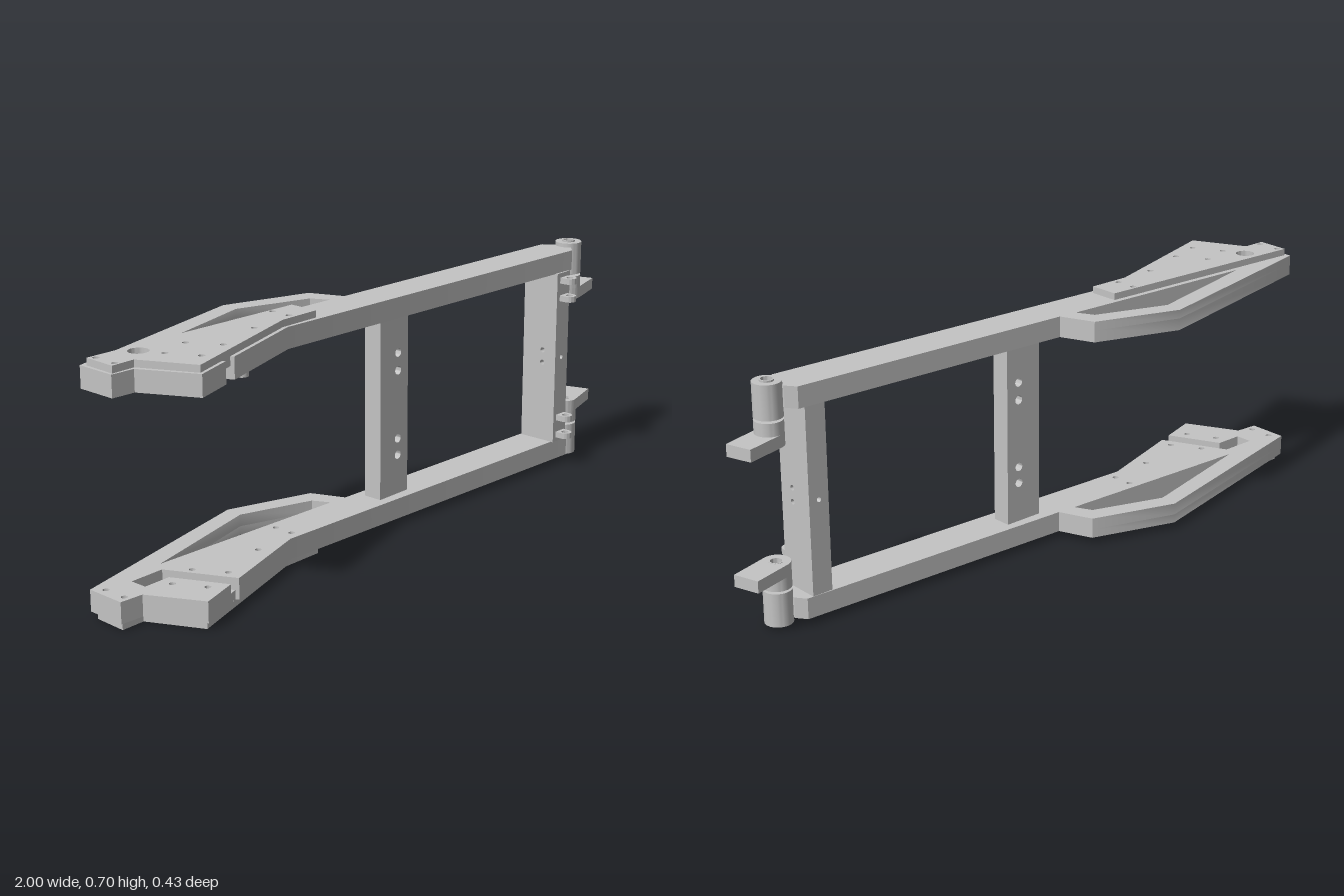
import * as THREE from 'three';
import { toCreasedNormals } from 'three/addons/utils/BufferGeometryUtils.js';

const HEIGHT = 0.703;

export function createModel() {
  const model = new THREE.Group();
  model.name = 'swingArmFrame';
  const grey = new THREE.MeshStandardMaterial({ color: 0xc4c4c4 });
  grey.name = 'metalGrey';

  function add(name, geometry, parent = model) {
    const mesh = new THREE.Mesh(geometry, grey);
    mesh.name = name;
    parent.add(mesh);
    return mesh;
  }

  // Holes are either [x, y, radius] circles or lists of points
  function extrude(shape, holes, depth) {
    for (const h of holes) {
      if (Array.isArray(h[0])) {
        shape.holes.push(new THREE.Path(h.map(([x, y]) => new THREE.Vector2(x, y))));
      } else {
        shape.holes.push(new THREE.Path().absarc(h[0], h[1], h[2], 0, Math.PI * 2, true));
      }
    }
    const g = new THREE.ExtrudeGeometry(shape, { depth, bevelEnabled: false, curveSegments: 20 });
    return toCreasedNormals(g, 0.6);
  }

  // Outlines always run counter-clockwise so that hole walls face the right way
  function polygon(pts) {
    const points = pts.map(([x, y]) => new THREE.Vector2(x, y));
    if (THREE.ShapeUtils.isClockWise(points)) points.reverse();
    return new THREE.Shape(points);
  }
  const disc = (x, y, r) => new THREE.Shape().absarc(x, y, r, 0, Math.PI * 2, false);

  // Plan outlines are given as [x, z]; the shape plane uses y = -z
  const flip = ([x, z, ...r]) => [x, -z, ...r];
  const plan = (pts) => pts.map(flip);
  const planHoles = (holes) => holes.map((h) => (Array.isArray(h[0]) ? plan(h) : flip(h)));

  // Horizontal slab from y0 to y1, placed from the top down on the upper side
  function slab(name, shape, holes, y0, y1, upper, parent) {
    const g = extrude(shape, planHoles(holes), y1 - y0);
    g.rotateX(-Math.PI / 2);
    g.translate(0, upper ? HEIGHT - y1 : y0, 0);
    return add(name, g, parent);
  }

  const armStart = [
    [-0.997, -0.07], [-0.355, -0.215], [-0.1, -0.13], [-0.06, -0.03],
    [0.82, 0.005], [0.842, 0.035], [0.842, 0.1], [0.815, 0.124], [-0.4, 0.074],
  ];
  const armEnd = [[-0.85, 0.213], [-0.93, 0.055], [-1, 0.05]];
  const shallowNotch = [[-0.69, 0.164], [-0.695, 0.154], [-0.738, 0.168], [-0.733, 0.177]];
  const channel = [
    [-0.69, 0.164], [-0.782, -0.03], [-0.89, -0.03],
    [-0.89, 0.022], [-0.806, 0.022], [-0.733, 0.177],
  ];
  const trussOpening = [[-0.76, -0.062], [-0.36, -0.16], [-0.143, -0.085], [-0.118, -0.034]];
  const plateOutline = [
    [-0.987, -0.055], [-0.28, -0.025], [-0.28, 0.065], [-0.41, 0.065],
    [-0.845, 0.202], [-0.92, 0.045], [-0.992, 0.045],
  ];
  const bigHole = [-0.86, -0.005, 0.028];
  const boltHoles = [
    [-0.971, -0.038], [-0.971, 0.032], [-0.83, 0.06], [-0.73, 0.03], [-0.785, 0.145],
    [-0.68, 0.115], [-0.515, 0.063], [-0.365, -0.015], [-0.365, 0.045],
  ].map(([x, z]) => [x, z, 0.009]);

  const px = 0.87, pz = 0.07;
  for (const upper of [false, true]) {
    const side = new THREE.Group();
    side.name = upper ? 'upperArm' : 'lowerArm';
    model.add(side);

    // Arm in two layers, the inner one cut by the bent channel
    slab('armOuterLayer', polygon(plan([...armStart, ...shallowNotch, ...armEnd])),
      [trussOpening, bigHole, ...boltHoles], 0.02, 0.046, upper, side);
    slab('armInnerLayer', polygon(plan([...armStart, ...channel, ...armEnd])),
      [trussOpening, ...boltHoles], 0.046, 0.081, upper, side);
    slab('coverPlate', polygon(plan(plateOutline)), [bigHole, ...boltHoles], 0, 0.02, upper, side);

    // Pivot barrel, sleeve and lever
    const bore = [px, pz, 0.019];
    slab('pivotBarrel', disc(px, -pz, 0.04), [bore], 0.008, 0.106, upper, side);
    slab('pivotSleeve', disc(px, -pz, 0.02), [[px, pz, 0.016]], 0.003, 0.186, upper, side);
    slab('leverHub', disc(px, -pz, 0.04), [bore], 0.113, 0.15, upper, side);
    const lever = new THREE.Shape();
    lever.moveTo(0.977, 0);
    lever.lineTo(px - 0.011, -pz + 0.0385);
    lever.absarc(px, -pz, 0.04, 1.85, 4.99, false);
    lever.lineTo(1, -0.075);
    slab('lever', lever, [bore], 0.15, 0.185, upper, side);

    // Small eyelets on the end crossbar
    for (const y of [0.094, 0.15]) {
      const lug = new THREE.Shape();
      lug.moveTo(0.752, -0.125);
      lug.lineTo(0.752, -0.15);
      lug.absarc(0.772, -0.15, 0.02, Math.PI, Math.PI * 2, false);
      lug.lineTo(0.792, -0.125);
      slab('eyelet', lug, [[0.772, 0.15, 0.011]], y, y + 0.018, upper, side);
    }
  }

  // Middle crossbar with four through holes
  const rect = (x0, y0, x1, y1) => polygon([[x0, y0], [x1, y0], [x1, y1], [x0, y1]]);
  const middle = extrude(rect(-0.01, 0.08, 0.11, 0.623),
    [0.2, 0.25, 0.455, 0.508].map((y) => [0.067, y, 0.013]), 0.058);
  add('middleCrossbar', middle.translate(0, 0, 0.003));

  // End crossbar: the outer spans are drilled sideways, the centre front to back
  const sideSpan = (y0, y1, holeY) => {
    const g = extrude(rect(-0.128, y0, -0.005, y1), [[-0.079, holeY, 0.008]], 0.063);
    return g.rotateY(Math.PI / 2).translate(0.738, 0, 0);
  };
  add('endCrossbarLower', sideSpan(0.08, 0.345, 0.333));
  add('endCrossbarUpper', sideSpan(0.362, 0.623, 0.373));
  const centre = extrude(rect(0.738, 0.345, 0.801, 0.362), [[0.769, 0.3535, 0.007]], 0.123);
  add('endCrossbarCentre', centre.translate(0, 0, 0.005));

  // Peg hanging from the upper arm
  const peg = new THREE.CylinderGeometry(0.018, 0.018, 0.064, 24);
  add('peg', peg.translate(-0.512, 0.593, 0.012));

  return model;
}
